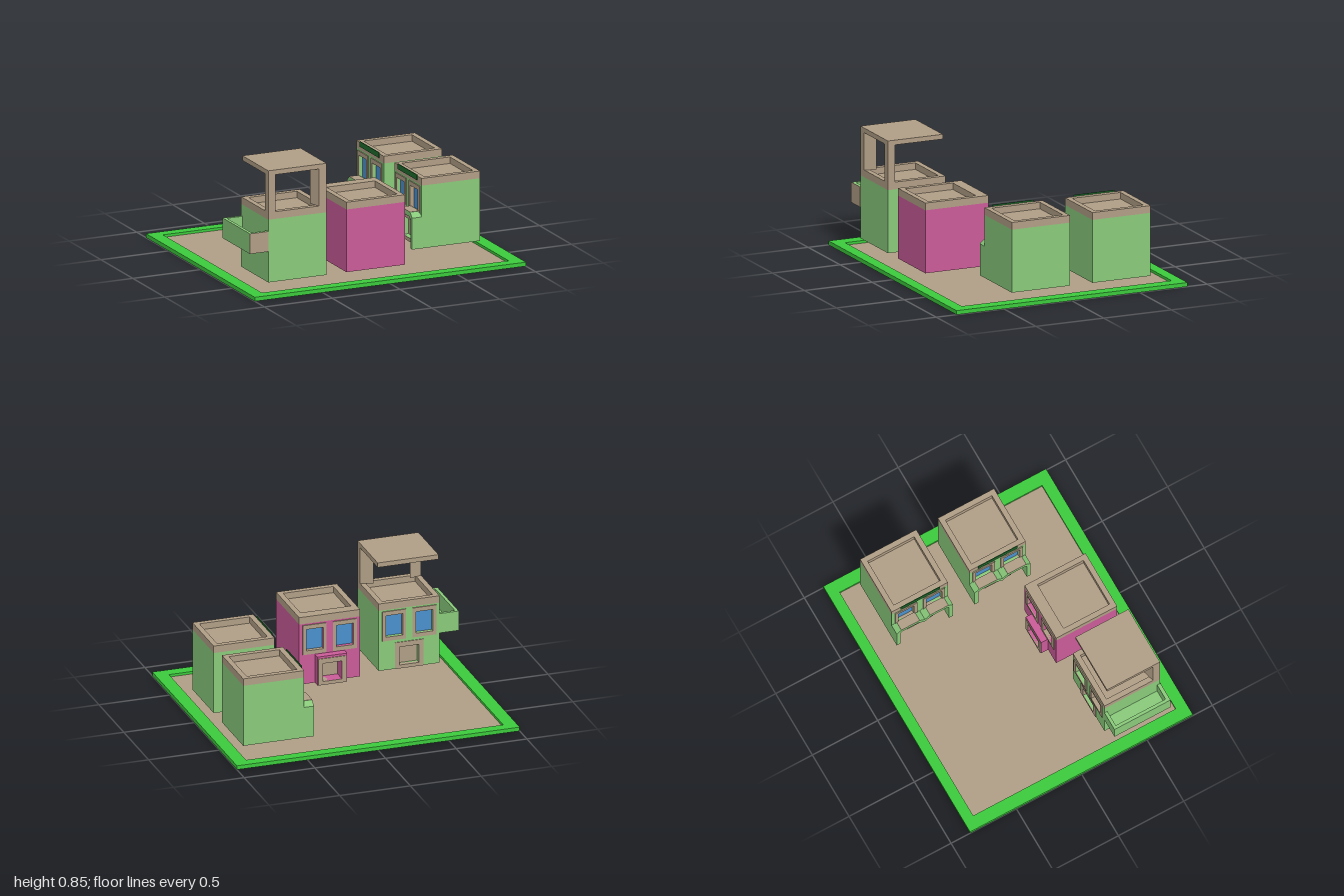
import * as THREE from 'three';

const flat = (name, color) => {
  const m = new THREE.MeshStandardMaterial({ color });
  m.name = name;
  return m;
};

export function createModel() {
  const model = new THREE.Group();
  model.name = 'miniatureStreet';
  const grass = flat('grass green', 0x3cc93c);
  const sand = flat('sand brown', 0xb09e85);
  const green = flat('wall green', 0x88c97a);
  const pink = flat('wall pink', 0xc95b97);
  const glass = flat('window blue', 0x4a90cc);
  const signGreen = flat('sign green', 0x1f6b2c);

  const BOTTOM = 0.07, WALL_TOP = 0.505, TOP = 0.555, W = 0.43, RECESS = 0.04;

  const add = (parent, name, geometry, material) => {
    const mesh = new THREE.Mesh(geometry, material);
    mesh.name = name;
    parent.add(mesh);
    return mesh;
  };
  // Box given by its low and high corners
  const box = (parent, name, material, x0, x1, y0, y1, z0, z1) => {
    const g = new THREE.BoxGeometry(x1 - x0, y1 - y0, z1 - z0);
    g.translate((x0 + x1) / 2, (y0 + y1) / 2, (z0 + z1) / 2);
    return add(parent, name, g, material);
  };
  const rect = (x0, x1, y0, y1, Type = THREE.Shape) => new Type([
    [x0, y0], [x1, y0], [x1, y1], [x0, y1],
  ].map(([x, y]) => new THREE.Vector2(x, y)));
  // Rectangular panel with rectangular holes, upright and facing +z
  const panel = (outer, holes, z0, z1) => {
    const shape = rect(...outer);
    holes.forEach((h) => shape.holes.push(rect(...h, THREE.Path)));
    return new THREE.ExtrudeGeometry(shape, { depth: z1 - z0, bevelEnabled: false }).translate(0, 0, z0);
  };
  // The same panel laid flat; its second axis is -z
  const ring = (outer, hole, y0, y1) => panel(outer, [hole], y0, y1).rotateX(-Math.PI / 2);

  // Ground: sunken courtyard inside a raised grass border
  const ground = new THREE.Group();
  ground.name = 'ground';
  model.add(ground);
  const court = [-0.91, 0.91, -0.77, 0.78];
  add(ground, 'grassBorder', ring([-1, 1, -0.85, 0.855], court, 0, 0.028), grass);
  box(ground, 'groundUnderside', grass, -0.91, 0.91, 0, 0.004, -0.78, 0.77);
  box(ground, 'courtyard', sand, -0.91, 0.91, 0.004, 0.01, -0.78, 0.77);

  // House block whose facade faces local +z
  function house(name, depth, wall, frontRim, doorFront = 0) {
    const g = new THREE.Group();
    g.name = name;
    const hw = W / 2, hd = depth / 2;
    const door = [-0.068, 0.068, BOTTOM + 0.025, 0.225];
    const doorFrame = [-0.1, 0.1, BOTTOM, 0.26];
    const windows = [-0.107, 0.107].map((x) => [x - 0.06, x + 0.06, 0.31, 0.465]);

    box(g, 'body', wall, -hw, hw, BOTTOM, WALL_TOP, -hd, hd - RECESS);
    add(g, 'facade', panel([-hw, hw, BOTTOM, WALL_TOP], [door, ...windows], hd - RECESS, hd), wall);
    box(g, 'doorBack', sand, door[0], door[1], door[2], door[3], hd - RECESS, hd - RECESS + 0.004);

    // Window frames and panes
    windows.forEach(([x0, x1, y0, y1]) => {
      add(g, 'windowFrame', panel([x0 - 0.024, x1 + 0.024, y0 - 0.028, y1 + 0.03],
        [[x0, x1, y0, y1]], hd - 0.03, hd + 0.007), sand);
      box(g, 'windowPane', glass, x0, x1, y0, y1, hd - 0.03, hd - 0.022);
    });

    // Door frame, on an optional porch
    if (doorFront) add(g, 'porch', panel([-0.105, 0.105, BOTTOM, 0.275], [door], hd, hd + doorFront), wall);
    const front = hd + doorFront;
    add(g, 'doorFrame', panel(doorFrame, [door], hd - RECESS, front + 0.005), sand);

    // Flat roof with parapet
    box(g, 'roof', sand, -hw + 0.01, hw - 0.01, WALL_TOP, WALL_TOP + 0.005, -hd + 0.01, hd - 0.01);
    add(g, 'parapet', ring([-hw, hw, -hd, hd],
      [-hw + 0.037, hw - 0.037, -hd + frontRim, hd - 0.037], WALL_TOP, TOP), sand);
    model.add(g);
    return g;
  }

  // Two shops facing the courtyard, with double awnings and plain signs
  const half = [[0.215, 0.07], [0.215, 0.288], [0.18, 0.32], [0.04, 0.32]];
  const inner = [[0.185, 0.07], [0.185, 0.272], [0.168, 0.288], [0.052, 0.288]];
  const mirror = (pts) => pts.map(([x, y]) => [-x, y]).reverse();
  const outline = [...half, [0, 0.288], ...mirror(half), ...mirror(inner).reverse(), [0, 0.25], ...[...inner].reverse()];
  [-0.425, 0.17].forEach((z) => {
    const shop = house('shop', 0.43, green, 0.037);
    shop.position.set(0.665, 0, z);
    shop.rotation.y = -Math.PI / 2;
    const arch = new THREE.Shape(outline.map(([x, y]) => new THREE.Vector2(x, y)));
    add(shop, 'awning', new THREE.ExtrudeGeometry(arch, { depth: 0.07, bevelEnabled: false })
      .translate(0, 0, 0.215), green);
    [-1, 1].forEach((s) => {
      const x = s * 0.11;
      box(shop, 'awningTop', sand, x - 0.07, x + 0.07, 0.318, 0.322, 0.215, 0.285);
    });
    box(shop, 'signPlate', signGreen, -0.15, 0.15, 0.528, 0.565, 0.216, 0.222);
  });

  // Pink house with a small porch
  const pinkHouse = house('pinkHouse', 0.467, pink, 0.078, 0.053);
  pinkHouse.position.set(-0.035, 0, 0.459);
  pinkHouse.rotation.y = Math.PI;

  // Lookout house: roof canopy on two kite-shaped posts, side balcony
  const lookout = house('lookoutHouse', 0.425, green, 0.037);
  lookout.position.set(-0.613, 0, 0.483);
  lookout.rotation.y = Math.PI;
  box(lookout, 'canopy', sand, -0.215, 0.215, 0.812, 0.845, -0.2125, 0.193);
  [-1, 1].forEach((s) => {
    const kite = [[0.215, 0.2125], [0.16, 0.2125], [0.13, 0.135], [0.215, 0.16]];
    const shape = new THREE.Shape(kite.map(([x, y]) => new THREE.Vector2(s * x, y)));
    add(lookout, 'canopyPost', new THREE.ExtrudeGeometry(shape, { depth: 0.812 - TOP, bevelEnabled: false })
      .rotateX(-Math.PI / 2).translate(0, TOP, 0), sand);
  });
  box(lookout, 'balconyFloor', green, 0.215, 0.352, 0.285, 0.31, -0.2125, 0.2125);
  box(lookout, 'balconyRail', green, 0.33, 0.352, 0.31, 0.425, -0.2125, 0.2125);
  [-0.2125, 0.1905].forEach((z) => {
    box(lookout, 'balconySide', green, 0.215, 0.33, 0.31, 0.425, z, z + 0.022);
  });
  box(lookout, 'balconyEndPanel', sand, 0.215, 0.352, 0.285, 0.425, -0.2165, -0.2125);

  return model;
}
